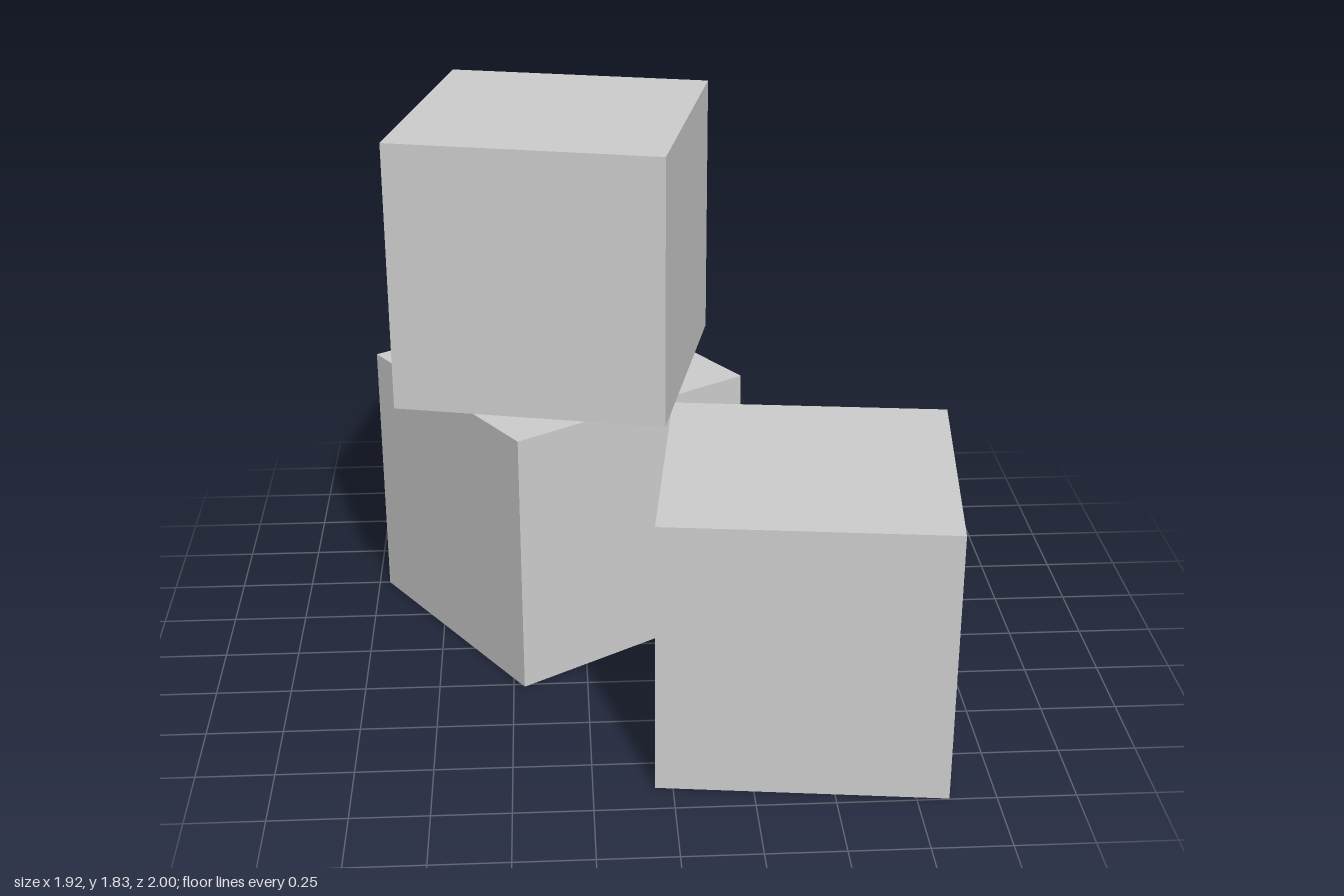
import * as THREE from 'three';

const SIZE = 0.914;

export function createModel() {
  const model = new THREE.Group();
  const grey = new THREE.MeshStandardMaterial({ color: 0xcccccc });
  grey.name = 'light grey';
  const cube = new THREE.BoxGeometry(SIZE, SIZE, SIZE);

  // Each block: name, x, level, z, turn about the vertical axis
  const blocks = [
    ['frontBlock', 0.452, 0, 0.489, -0.119],
    ['backBlock', -0.331, 0, -0.367, 0.579],
    ['topBlock', -0.329, 1, -0.367, -0.2205],
  ];
  for (const [name, x, level, z, turn] of blocks) {
    const block = new THREE.Mesh(cube, grey);
    block.name = name;
    block.position.set(x, SIZE * (level + 0.5), z);
    block.rotation.y = turn;
    model.add(block);
  }
  return model;
}
